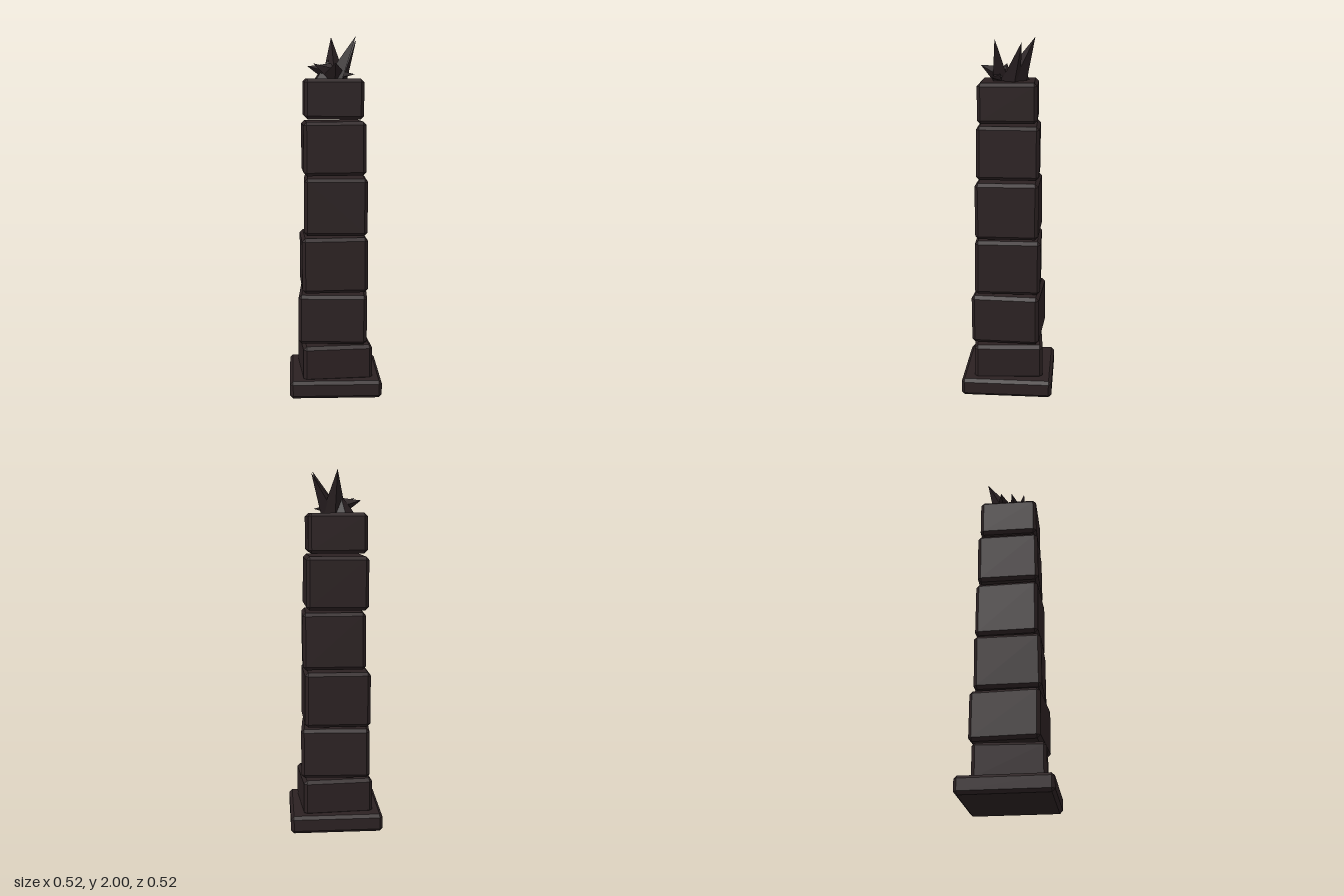
import * as THREE from 'three';
import { ConvexGeometry } from 'three/addons/geometries/ConvexGeometry.js';

const stone = new THREE.MeshStandardMaterial({ color: 0x2b2122 });
stone.name = 'dark stone';
const crystal = new THREE.MeshStandardMaterial({ color: 0x271e20 });
crystal.name = 'dark crystal';

// Box with flat 45 degree chamfers on every edge
function chamferBox(w, h, d, c) {
  const points = [];
  for (const sx of [-1, 1]) for (const sy of [-1, 1]) for (const sz of [-1, 1]) {
    const x = w / 2, y = h / 2, z = d / 2;
    points.push(
      new THREE.Vector3(sx * x, sy * (y - c), sz * (z - c)),
      new THREE.Vector3(sx * (x - c), sy * y, sz * (z - c)),
      new THREE.Vector3(sx * (x - c), sy * (y - c), sz * z));
  }
  return new ConvexGeometry(points);
}

// Faceted spike running from a base centre to a tip
function spike(base, tip, radius, sides, spin) {
  const a = new THREE.Vector3(...base), b = new THREE.Vector3(...tip);
  const dir = b.clone().sub(a), length = dir.length();
  let geo = new THREE.ConeGeometry(radius, length, sides);
  geo.rotateY(spin);
  geo.translate(0, length / 2, 0);
  geo = geo.toNonIndexed();
  geo.computeVertexNormals();
  const mesh = new THREE.Mesh(geo, crystal);
  mesh.position.copy(a);
  mesh.quaternion.setFromUnitVectors(new THREE.Vector3(0, 1, 0), dir.normalize());
  return mesh;
}

export function createModel() {
  const model = new THREE.Group();
  model.name = 'obelisk';

  // Plinth
  const plinth = new THREE.Mesh(chamferBox(0.512, 0.098, 0.512, 0.017), stone);
  plinth.name = 'plinth';
  plinth.position.set(-0.001, 0.052, -0.001);
  plinth.rotation.set(0, -0.008, -0.005);
  model.add(plinth);

  // Stacked blocks: width, bottom, top, x, z, yaw, tilt
  const blocks = [
    [0.388, 0.085, 0.286, 0.0, 0.004, 0.065, 0.0],
    [0.382, 0.297, 0.576, -0.007, 0.002, -0.065, -0.006],
    [0.366, 0.587, 0.896, -0.007, 0.003, 0.02, 0.006],
    [0.35, 0.909, 1.226, 0.005, 0.002, -0.025, -0.006],
    [0.344, 1.24, 1.534, -0.007, 0.003, 0.02, 0.006],
    [0.325, 1.548, 1.767, -0.01, 0.006, 0.015, -0.005],
  ];
  blocks.forEach(([w, y0, y1, x, z, yaw, tilt], i) => {
    const block = new THREE.Mesh(chamferBox(w, y1 - y0, w, 0.018), stone);
    block.name = 'block' + (i + 1);
    block.position.set(x, (y0 + y1) / 2, z);
    block.rotation.set(-tilt, yaw, tilt);
    model.add(block);
  });

  // Broken crown of shards: base, tip, radius, sides, spin
  const crown = new THREE.Group();
  crown.name = 'shardCrown';
  const shards = [
    [[0.0, 1.77, -0.03], [-0.01, 2.0, -0.138], 0.065, 4, 0],
    [[0.025, 1.77, -0.01], [0.128, 1.98, -0.073], 0.055, 4, 0.4],
    [[-0.02, 1.8, -0.03], [-0.147, 1.835, -0.037], 0.055, 4, 0],
    [[0.015, 1.77, 0.045], [0.115, 1.997, 0.072], 0.052, 3, 0.5],
    [[0.0, 1.79, 0.04], [0.0, 1.85, 0.158], 0.06, 4, 0],
    [[0.0, 1.79, 0.04], [-0.118, 1.85, 0.022], 0.045, 3, 0.6],
    [[0.0, 1.79, 0.04], [0.107, 1.79, 0.09], 0.04, 4, 0.3],
    [[-0.045, 1.755, -0.045], [-0.03, 1.87, -0.06], 0.07, 6, 0.2],
  ];
  shards.forEach((s, i) => {
    const shard = spike(...s);
    shard.name = 'shard' + (i + 1);
    crown.add(shard);
  });
  model.add(crown);

  return model;
}
